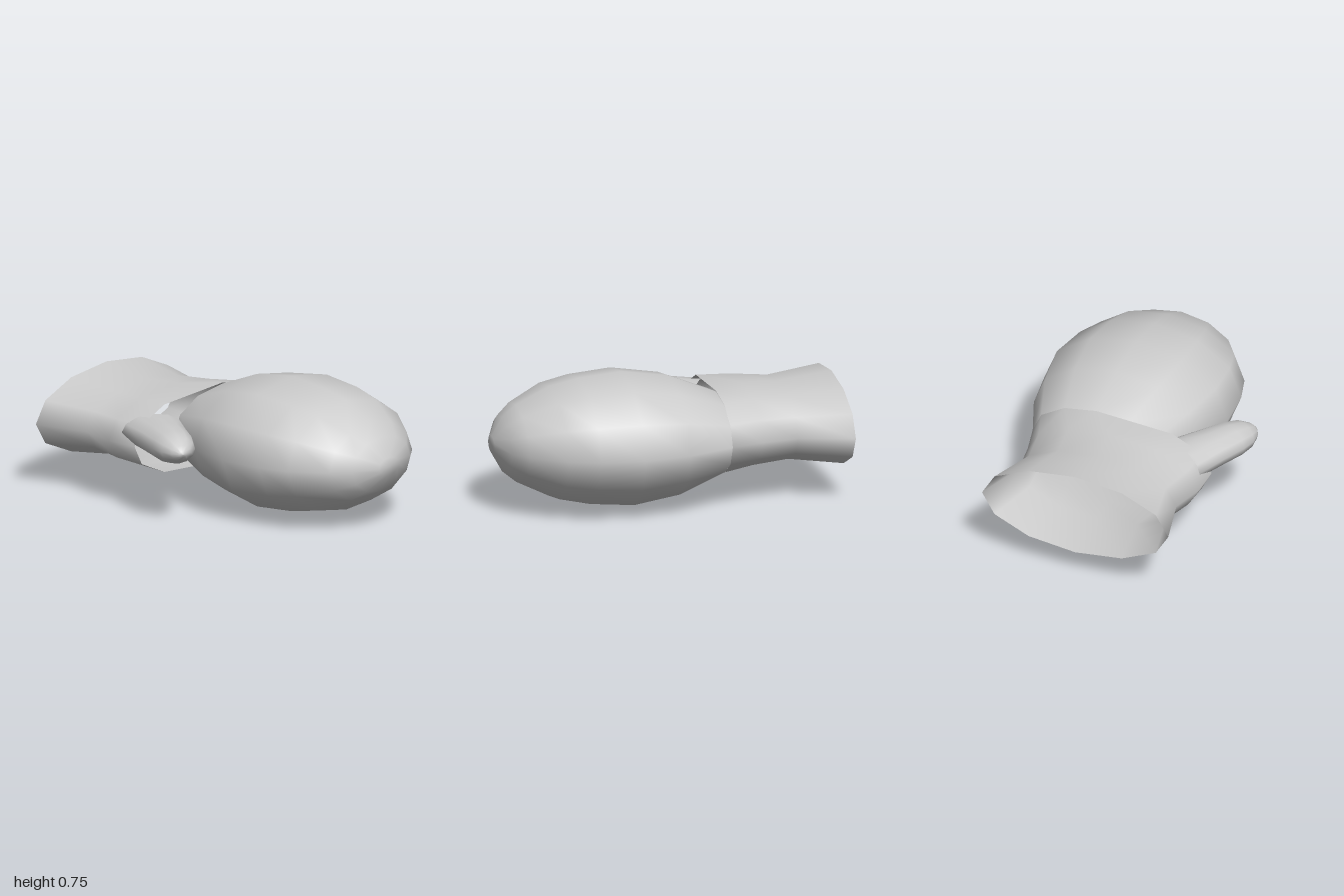
import * as THREE from 'three';

const SIDES = 12;
const material = new THREE.MeshStandardMaterial({ color: 0xcccccc, side: THREE.DoubleSide });

// Smooth open skin over a series of closed rings, each an array of SIDES points
function loft(name, rings) {
  const index = [];
  for (let i = 0; i < rings.length - 1; i++) {
    for (let j = 0; j < SIDES; j++) {
      const a = i * SIDES + j, b = i * SIDES + (j + 1) % SIDES;
      index.push(a, b, b + SIDES, a, b + SIDES, a + SIDES);
    }
  }
  const geometry = new THREE.BufferGeometry().setFromPoints(rings.flat());
  geometry.setIndex(index);
  geometry.computeVertexNormals();
  const mesh = new THREE.Mesh(geometry, material);
  mesh.name = name;
  return mesh;
}

// Points (cos, sin) around one ring, passed to a placing rule
function ring(place) {
  return Array.from({ length: SIDES }, (_, j) => {
    const a = (j / SIDES) * Math.PI * 2;
    return new THREE.Vector3(...place(Math.cos(a), Math.sin(a)));
  });
}

export function createModel() {
  const model = new THREE.Group();
  model.name = 'mitten';

  // Padded hand: z, half width, half height
  const hand = [
    [-0.29, 0.39, 0.222], [-0.02, 0.505, 0.333], [0.25, 0.56, 0.375], [0.5, 0.53, 0.353],
    [0.67, 0.473, 0.317], [0.86, 0.333, 0.223], [0.94, 0.234, 0.157], [1, 0.08, 0.05], [1, 0.001, 0.001],
  ];
  model.add(loft('hand', hand.map(([z, w, h]) =>
    ring((c, s) => [0.13 + w * c, 0.377 + h * s, z]))));

  // Flared cuff: z, centre x, left edge, right edge, half height, bluntness of the thumb side
  const cuff = [
    [-1, -0.06, -0.63, 0.51, 0.248, 1],
    [-0.69, -0.058, -0.54, 0.425, 0.208, 1],
    [-0.48, -0.03, -0.585, 0.465, 0.223, 0.9],
    [-0.29, 0.13, -0.575, 0.52, 0.226, 0.6],
  ];
  model.add(loft('cuff', cuff.map(([z, cx, x0, x1, h, blunt]) =>
    ring((c, s) => [
      c < 0 ? cx - (cx - x0) * Math.pow(-c, blunt) : cx + (x1 - cx) * c,
      0.379 + h * s, z,
    ]))));

  // Thumb, leaning outward: distance along its axis, half width, half height
  const thumb = [
    [0, 0.18, 0.09], [0.2, 0.145, 0.096], [0.36, 0.125, 0.094],
    [0.45, 0.1, 0.077], [0.51, 0.058, 0.045], [0.535, 0.022, 0.018], [0.54, 0.001, 0.001],
  ];
  model.add(loft('thumb', thumb.map(([t, w, h]) =>
    ring((c, s) => [-0.395 - 0.464 * t + 0.886 * w * c, 0.436 + h * s, -0.325 + 0.886 * t + 0.464 * w * c]))));

  return model;
}
